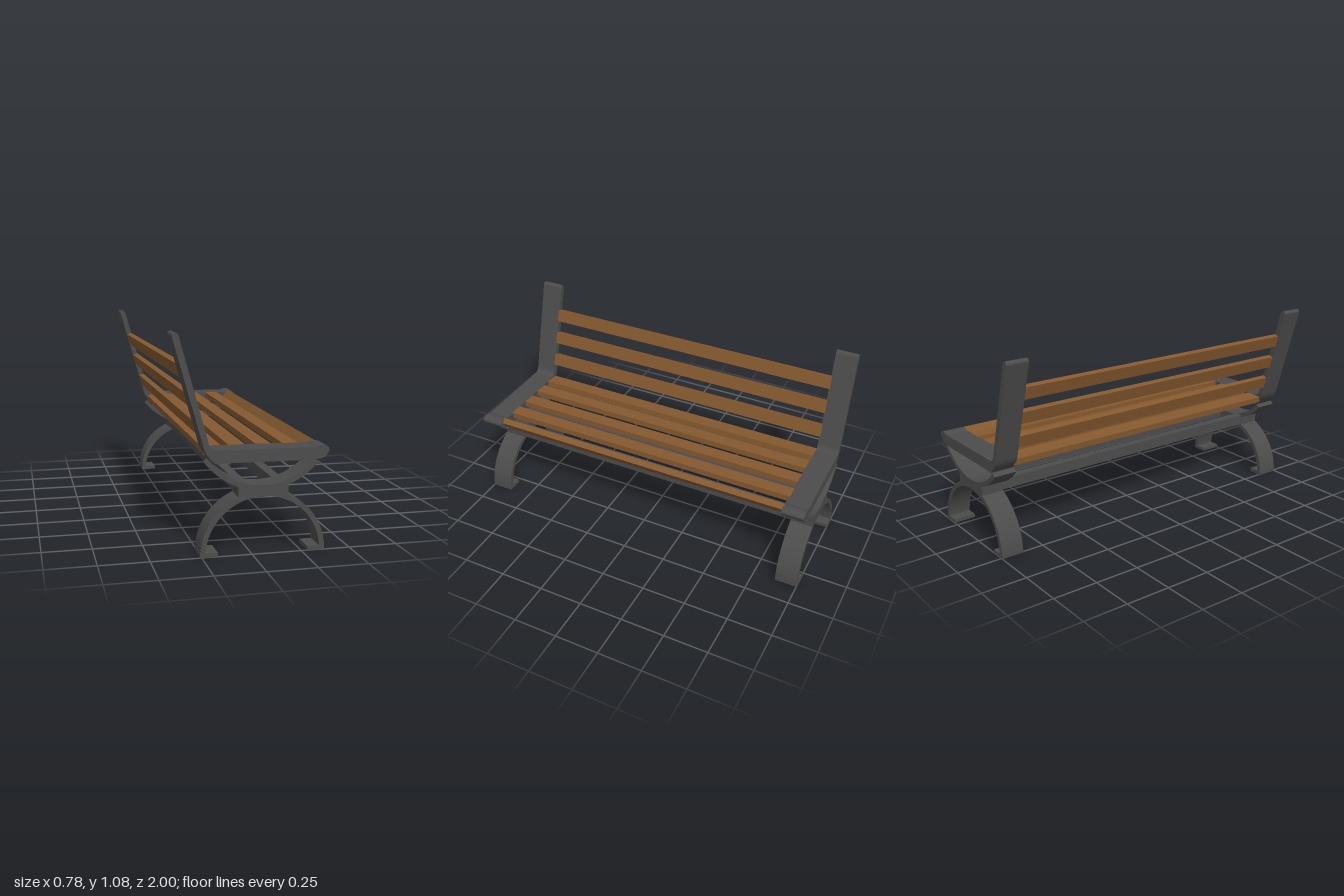
import * as THREE from 'three';

const iron = new THREE.MeshStandardMaterial({ color: 0x4c4c4c });
const wood = new THREE.MeshStandardMaterial({ color: 0x85592f });
const CX = 0.055;          // centre line of the legs
const END = 1, WIDTH = 0.125; // outer z and width of each end frame

function add(parent, name, geometry, material) {
  const mesh = new THREE.Mesh(geometry, material);
  mesh.name = name;
  parent.add(mesh);
  return mesh;
}

// Extrude an x-y outline across the width of an end frame
const extrude = (shape) =>
  new THREE.ExtrudeGeometry(shape, { depth: WIDTH, bevelEnabled: false, curveSegments: 28 });

// Curved band between two radii
function band(cy, inner, outer, from, to) {
  const s = new THREE.Shape();
  s.absarc(CX, cy, outer, from, to, false);
  s.absarc(CX, cy, inner, to, from, true);
  return s;
}

// Seat rail and back post in one bent piece
function seatAndBack() {
  const s = new THREE.Shape();
  s.moveTo(-0.39, 1.065);
  s.quadraticCurveTo(-0.388, 1.083, -0.372, 1.082);
  s.quadraticCurveTo(-0.362, 1.08, -0.357, 1.065);
  s.lineTo(-0.217, 0.56);
  s.quadraticCurveTo(-0.208, 0.524, -0.185, 0.523);
  s.lineTo(0.315, 0.517);
  s.quadraticCurveTo(0.34, 0.53, 0.365, 0.524);
  s.quadraticCurveTo(0.392, 0.515, 0.384, 0.495);
  s.quadraticCurveTo(0.368, 0.465, 0.34, 0.459);
  s.lineTo(0.24, 0.456);
  s.lineTo(-0.185, 0.459);
  s.quadraticCurveTo(-0.228, 0.495, -0.24, 0.535);
  return s;
}

// Solid joint between the cradle and the leg arch
function hub() {
  const s = new THREE.Shape();
  const w = 0.125, a = Math.acos(w / 0.295), b = Math.acos(w / 0.335);
  s.absarc(CX, 0, 0.295, a, Math.PI - a, false);
  s.absarc(CX, 0.675, 0.335, Math.PI + b, -b, false);
  return s;
}

function endFrame() {
  const frame = new THREE.Group();
  add(frame, 'seatAndBackFrame', extrude(seatAndBack()), iron);
  add(frame, 'legArch', extrude(band(0, 0.288, 0.314, 0, Math.PI)), iron);
  const half = 0.87;
  add(frame, 'seatCradle',
    extrude(band(0.675, 0.333, 0.358, -Math.PI / 2 - half, -Math.PI / 2 + half)), iron);
  add(frame, 'hub', extrude(hub()), iron);
  for (const side of [-1, 1]) {
    add(frame, 'foot', new THREE.BoxGeometry(0.088, 0.02, WIDTH), iron)
      .position.set(CX + side * 0.27, 0.01, WIDTH / 2);
  }
  return frame;
}

export function createModel() {
  const bench = new THREE.Group();
  bench.name = 'bench';

  // End frames
  for (const [name, z] of [['leftEndFrame', END - WIDTH], ['rightEndFrame', -END]]) {
    const frame = endFrame();
    frame.name = name;
    frame.position.z = z;
    bench.add(frame);
  }

  const length = 2 * (END - WIDTH) + 0.01;
  const slat = (name, x, y, width, thickness, tilt) => {
    const m = add(bench, name, new THREE.BoxGeometry(width, thickness, length), wood);
    m.position.set(x, y, 0);
    m.rotation.z = tilt;
  };

  // Seat slats: x, y, width, tilt; the front one follows the nose of the frame
  for (const [x, y, w, tilt] of [
    [-0.172, 0.5, 0.09, 0.1], [-0.045, 0.502, 0.08, 0.04], [0.087, 0.502, 0.076, 0],
    [0.222, 0.502, 0.076, 0], [0.333, 0.493, 0.072, 0.92],
  ]) slat('seatSlat', x, y, w, 0.034, tilt);

  // Back slats, leaning with the posts
  for (const y of [0.897, 0.76, 0.622]) {
    slat('backSlat', -0.247 - (y - 0.62) * 0.284, y, 0.07, 0.03, Math.PI / 2 + 0.275);
  }

  // Stretchers joining the hubs
  for (const side of [-1, 1]) {
    add(bench, 'stretcher', new THREE.BoxGeometry(0.05, 0.06, length), iron)
      .position.set(CX + side * 0.097, 0.322, 0);
  }
  return bench;
}
